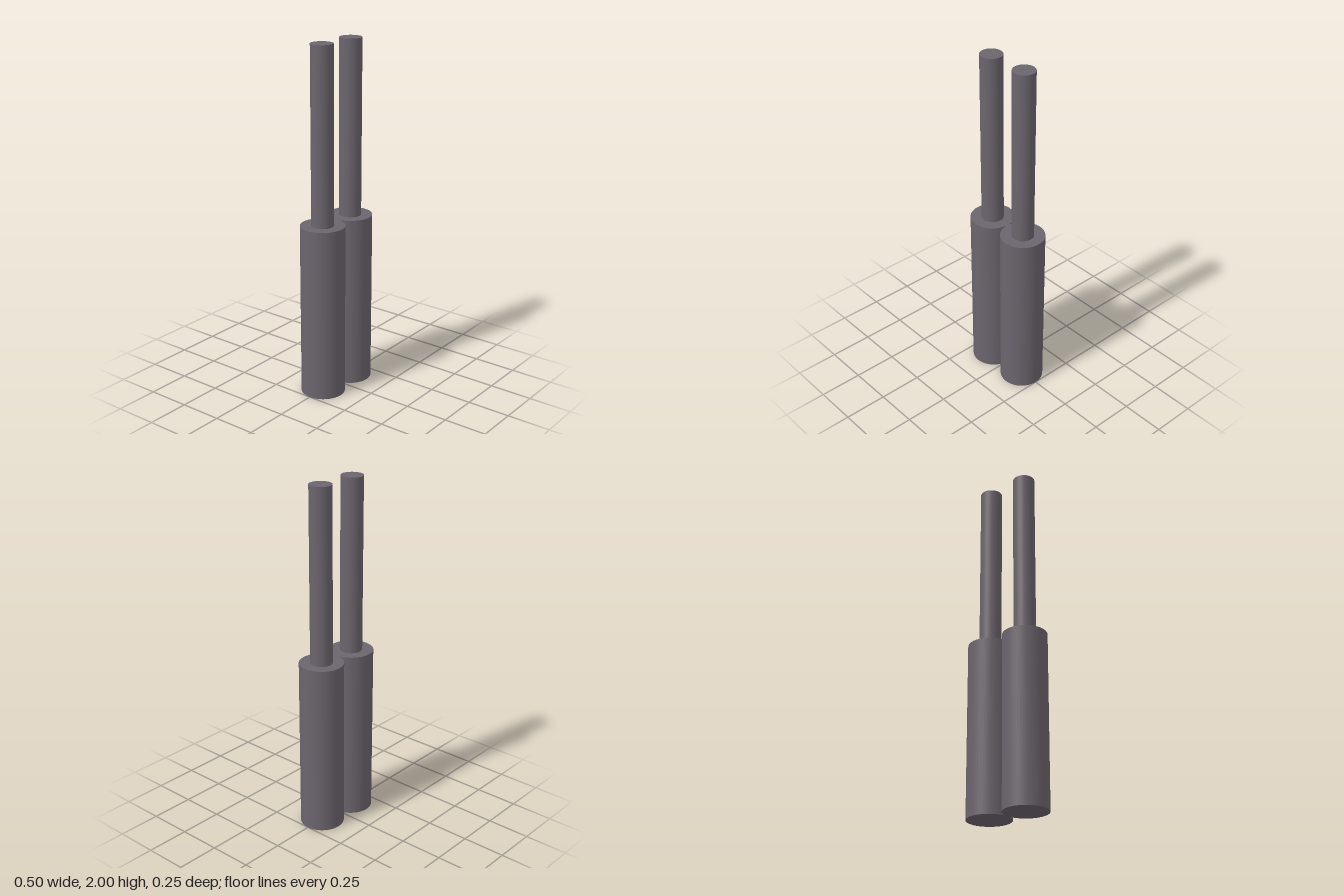
import * as THREE from 'three';

export function createModel() {
  const model = new THREE.Group();
  model.name = 'twinPistons';

  const darkMetal = new THREE.MeshStandardMaterial({ color: 0x6b656d });
  darkMetal.name = 'darkMetal';

  // Upright cylinder standing on the given height
  function upright(name, radius, height, bottom) {
    const mesh = new THREE.Mesh(new THREE.CylinderGeometry(radius, radius, height, 48), darkMetal);
    mesh.name = name;
    mesh.position.y = bottom + height / 2;
    return mesh;
  }

  // Two touching pistons, each a wide barrel with a thin rod on top
  for (const [side, sign] of [['left', 1], ['right', -1]]) {
    const piston = new THREE.Group();
    piston.name = side + 'Piston';
    piston.position.x = sign * 0.125;
    piston.add(upright(side + 'Barrel', 0.125, 1, 0));
    piston.add(upright(side + 'Rod', 0.0625, 1, 1));
    model.add(piston);
  }

  return model;
}
